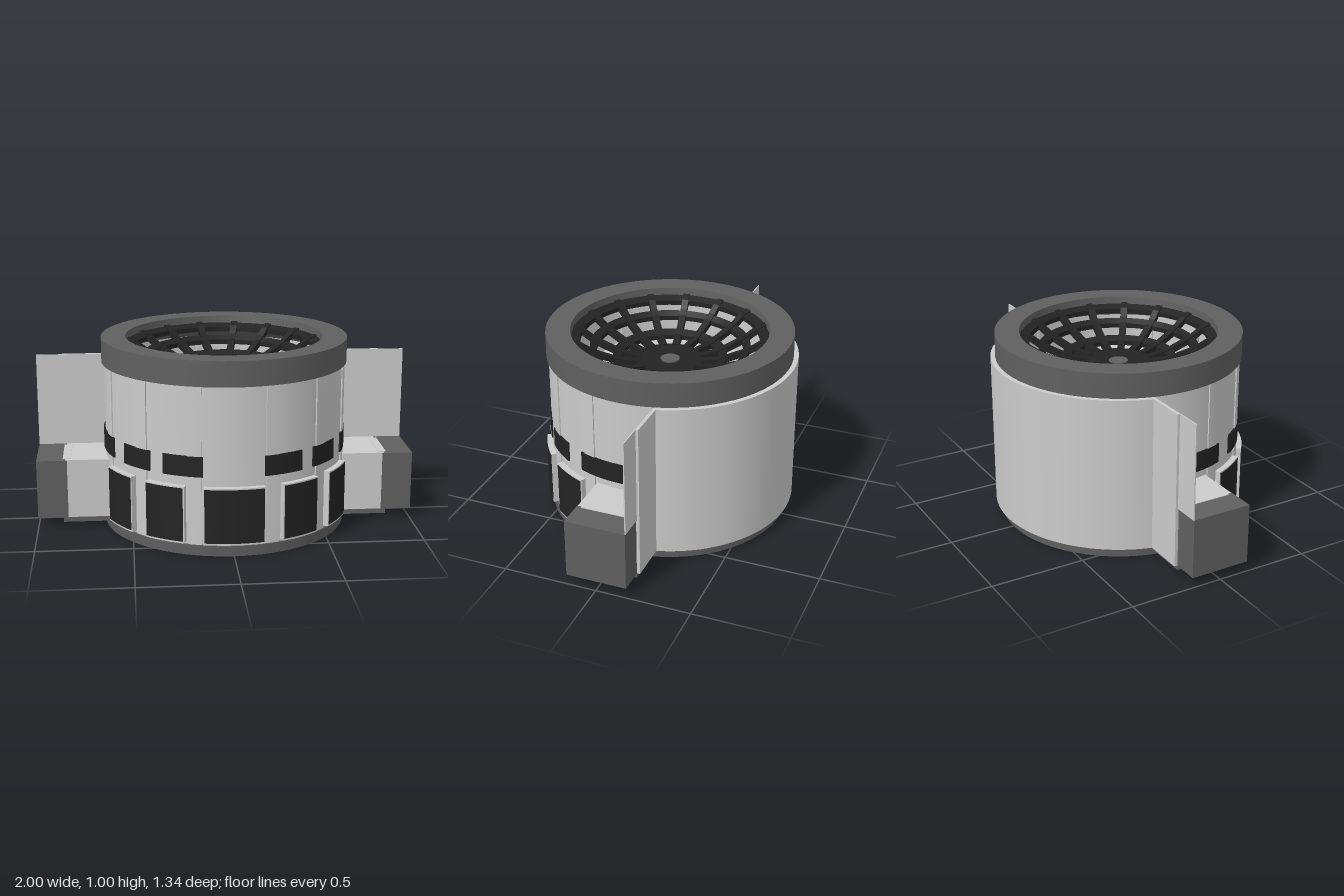
import * as THREE from 'three';
import { toCreasedNormals } from 'three/addons/utils/BufferGeometryUtils.js';

const light = new THREE.MeshStandardMaterial({ color: 0xcccccc, side: THREE.DoubleSide });
const grey = new THREE.MeshStandardMaterial({ color: 0x606060, side: THREE.DoubleSide });
const black = new THREE.MeshStandardMaterial({ color: 0x232323, side: THREE.DoubleSide });
const rad = THREE.MathUtils.degToRad;

export function createModel() {
  const root = new THREE.Group();

  function add(name, geometry, material) {
    const mesh = new THREE.Mesh(geometry, material);
    mesh.name = name;
    root.add(mesh);
    return mesh;
  }

  function box(name, material, x0, x1, y0, y1, z0, z1) {
    const g = new THREE.BoxGeometry(Math.abs(x1 - x0), y1 - y0, z1 - z0);
    g.translate((x0 + x1) / 2, (y0 + y1) / 2, (z0 + z1) / 2);
    return add(name, g, material);
  }

  // Curved block; angles in degrees from the front towards +x
  function sector(name, material, r0, r1, y0, y1, a0, a1) {
    const s = new THREE.Shape();
    const t0 = rad(a0 - 90), t1 = rad(a1 - 90);
    s.absarc(0, 0, r1, t0, t1, false);
    s.absarc(0, 0, r0, t1, t0, true);
    s.closePath();
    const g = new THREE.ExtrudeGeometry(s, {
      depth: y1 - y0, bevelEnabled: false,
      curveSegments: Math.max(4, Math.ceil(Math.abs(a1 - a0) / 5)),
    });
    g.rotateX(-Math.PI / 2).translate(0, y0, 0);
    return add(name, toCreasedNormals(g, rad(30)), material);
  }

  function lathe(name, material, points) {
    const g = new THREE.LatheGeometry(points.map(p => new THREE.Vector2(...p)), 64);
    return add(name, toCreasedNormals(g, rad(30)), material);
  }

  // Drum: base, wall and roof ring
  lathe('base', grey, [[0.645, 0], [0.648, 0.055], [0, 0.055]]);
  lathe('underside', black, [[0, 0], [0.645, 0]]);
  lathe('floor', black, [[0.62, 0.058], [0, 0.058]]);
  lathe('wall', light, [[0.635, 0.055], [0.635, 0.87]]);
  lathe('roofRing', grey, [[0.515, 0.95], [0.52, 1], [0.648, 1], [0.648, 0.87], [0.6, 0.87], [0.515, 0.95]]);
  sector('backShell', light, 0.63, 0.673, 0.055, 0.87, 105, 255);

  // Window panels around the front
  for (const [mid, half] of [[0, 13], [31.5, 9], [-31.5, 9], [59, 9], [-59, 9]]) {
    sector('windowFrame', light, 0.63, 0.666, 0.065, 0.362, mid - half - 0.6, mid + half + 0.6);
    sector('windowPane', black, 0.65, 0.669, 0.075, 0.355, mid - half, mid + half);
  }

  for (const s of [1, -1]) {
    const arc = (name, mat, r0, r1, y0, y1, a, b) =>
      sector(name, mat, r0, r1, y0, y1, s > 0 ? a : -b, s > 0 ? b : -a);

    // Pilasters and dark band
    for (const [a, b] of [[14.5, 21], [42, 48.5], [69, 75]])
      arc('pilaster', light, 0.62, 0.641, 0.055, 0.87, a, b);
    for (const [a, b] of [[14, 33], [40, 57], [67, 104]])
      arc('darkBand', black, 0.62, 0.643, 0.41, 0.515, a, b);

    // Side annex with end block and base plate
    box('annex', light, s * 0.58, s * 0.85, 0.055, 0.371, -0.16, 0.153);
    box('annexTopEdge', light, s * 0.82, s * 0.862, 0.3, 0.373, -0.13, 0.13);
    box('annexEndBlock', grey, s * 0.84, s * 1, 0.055, 0.37, -0.163, 0.157);
    box('annexBasePlate', grey, s * 0.55, s * 0.865, 0.03, 0.055, -0.163, 0.157);

    // Wing walls standing behind the annex
    box('wingWall', light, s * 0.6, s * 0.862, 0.055, 0.87, -0.18, -0.163);
    box('outerWingWall', light, s * 0.86, s * 1, 0.37, 0.87, -0.167, -0.161);
  }

  // Sunken roof lattice: rings, spokes and a hub
  const bowl = [[0.16, 0.818], [0.255, 0.835], [0.3, 0.853], [0.385, 0.89], [0.42, 0.91], [0.47, 0.945], [0.515, 0.962]];
  const band = (name, a, b) => lathe(name, black, [
    [a[0], a[1]], [b[0], b[1]], [b[0], b[1] - 0.025], [a[0], a[1] - 0.025], [a[0], a[1]]]);
  band('latticeRing', bowl[1], bowl[2]);
  band('latticeRing', bowl[3], bowl[4]);
  band('latticeRing', bowl[5], bowl[6]);
  lathe('latticeHub', black, [[0, 0.812], [0.175, 0.822], [0.175, 0.79]]);
  lathe('hubCap', grey, [[0, 0.822], [0.05, 0.822], [0.05, 0.805]]);
  lathe('ceilingDisc', light, [[0.39, 0.785], [0, 0.785]]);

  // Spoke outline in the radial plane, extruded to its width
  const outline = new THREE.Shape();
  bowl.forEach(([r, y], i) => (i ? outline.lineTo(r, y + 0.008) : outline.moveTo(r, y + 0.008)));
  [...bowl].reverse().forEach(([r, y]) => outline.lineTo(r, y - 0.025));
  outline.closePath();
  const spoke = new THREE.ExtrudeGeometry(outline, { depth: 0.036, bevelEnabled: false });
  spoke.translate(0, 0, -0.018);
  for (let i = 0; i < 16; i++)
    add('latticeSpoke', spoke, black).rotation.y = rad(11.25 + i * 22.5);

  return root;
}
